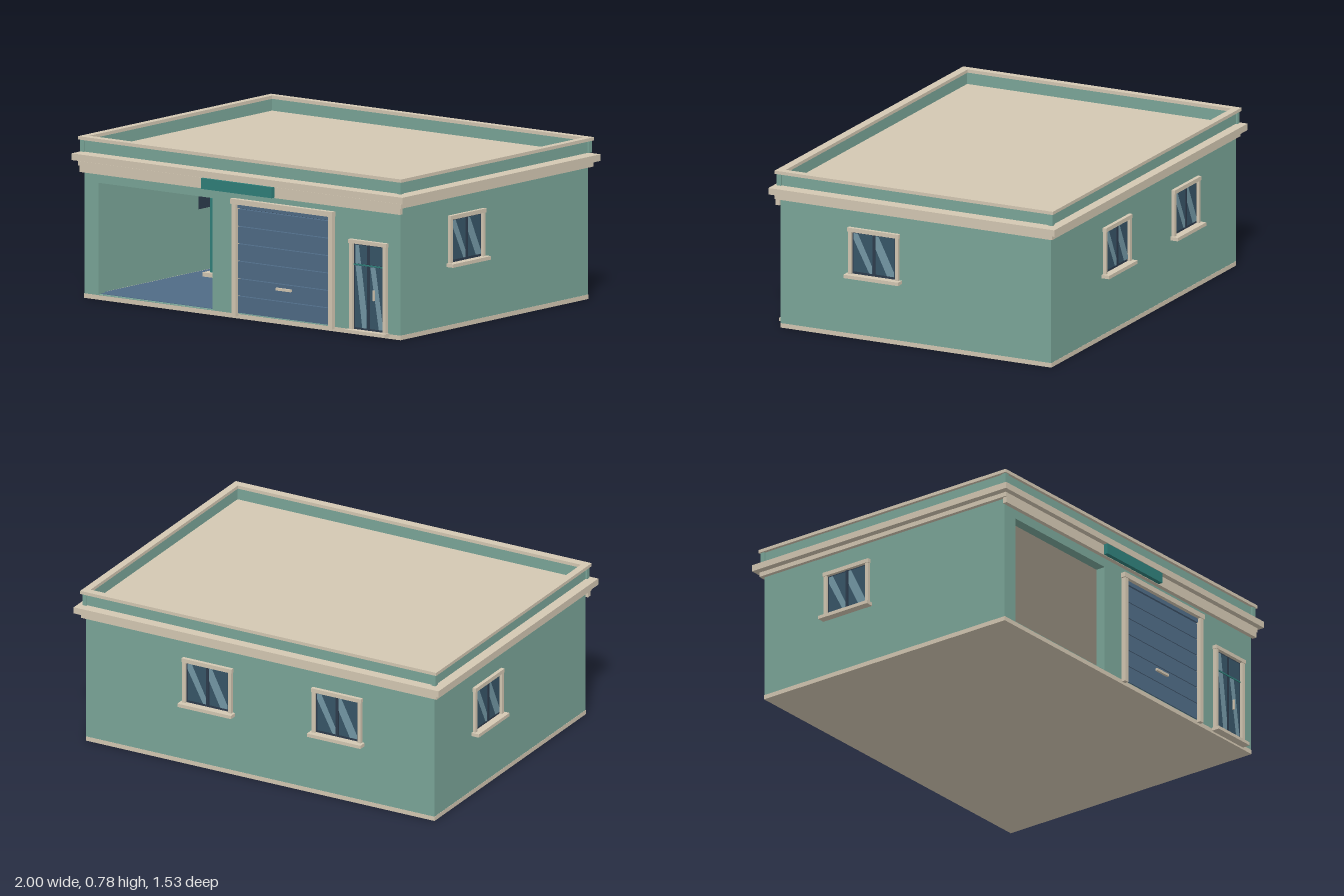
import * as THREE from 'three';

const mat = (color) => new THREE.MeshStandardMaterial({ color });
const GREEN = mat(0x7aa598), BEIGE = mat(0xd3c7b2), BLUE = mat(0x4f6b86), TEAL = mat(0x2f7f7a);
const DARK = mat(0x2d3c4d), GLASS = mat(0x375567), GLARE = mat(0x7397a5);

const X = 0.955, ZF = 0.72, ZB = -0.73, ZC = -0.005, T = 0.05; // wall faces and thickness

// Box given by its min / max on each axis
function box(parent, name, m, x0, x1, y0, y1, z0, z1) {
  const mesh = new THREE.Mesh(new THREE.BoxGeometry(x1 - x0, y1 - y0, z1 - z0), m);
  mesh.position.set((x0 + x1) / 2, (y0 + y1) / 2, (z0 + z1) / 2);
  mesh.name = name;
  parent.add(mesh);
  return mesh;
}

function group(parent, name) {
  const g = new THREE.Group();
  g.name = name;
  parent.add(g);
  return g;
}

// Flat outline from corner points (counter-clockwise)
function outline(pts) {
  return new THREE.Shape(pts.map(([x, y]) => new THREE.Vector2(x, y)));
}
const rect = (x0, x1, y0, y1) => outline([[x0, y0], [x1, y0], [x1, y1], [x0, y1]]);

// Wall with rectangular openings; outer face on local z = 0
function wall(parent, name, halfWidth, holes) {
  const shape = rect(-halfWidth, halfWidth, 0.02, 0.67);
  holes.forEach((h) => shape.holes.push(rect(...h)));
  const geo = new THREE.ExtrudeGeometry(shape, { depth: T, bevelEnabled: false });
  geo.translate(0, 0, -T);
  const mesh = new THREE.Mesh(geo, GREEN);
  mesh.name = name;
  parent.add(mesh);
}

// Rectangular ring around the building, made from an outer and an inner outline
function ring(parent, name, m, x, zb, zf, ix, izb, izf, y0, y1) {
  const shape = rect(-x, x, -zf, -zb);
  if (ix) shape.holes.push(rect(-ix, ix, -izf, -izb));
  const geo = new THREE.ExtrudeGeometry(shape, { depth: y1 - y0, bevelEnabled: false });
  geo.rotateX(-Math.PI / 2);
  const mesh = new THREE.Mesh(geo, m);
  mesh.position.y = y0;
  mesh.name = name;
  parent.add(mesh);
}

function glare(parent, pts, z) {
  const mesh = new THREE.Mesh(new THREE.ShapeGeometry(outline(pts)), GLARE);
  mesh.position.z = z;
  mesh.name = 'glassReflection';
  parent.add(mesh);
}

// Two-pane window around local x = cx on a wall facing local +z
function windowUnit(parent, cx) {
  const g = group(parent, 'window');
  g.position.x = cx;
  box(g, 'windowBacking', DARK, -0.13, 0.13, 0.32, 0.545, -T, 0.002);
  for (const s of [-1, 1]) {
    box(g, 'windowPane', GLASS, s * 0.059 - 0.05, s * 0.059 + 0.05, 0.335, 0.525, 0, 0.006);
    box(g, 'windowSideTrim', BEIGE, s * 0.126 - 0.009, s * 0.126 + 0.009, 0.32, 0.545, 0, 0.016);
  }
  box(g, 'windowMullion', DARK, -0.007, 0.007, 0.33, 0.53, 0, 0.01);
  box(g, 'windowTopTrim', BEIGE, -0.137, 0.137, 0.532, 0.552, 0, 0.019);
  box(g, 'windowSill', BEIGE, -0.147, 0.147, 0.305, 0.322, 0, 0.04);
  glare(g, [[-0.025, 0.335], [-0.009, 0.335], [-0.009, 0.37], [-0.085, 0.525], [-0.109, 0.525], [-0.109, 0.495]], 0.007);
  glare(g, [[0.07, 0.335], [0.109, 0.335], [0.109, 0.355], [0.025, 0.525], [0.009, 0.525], [0.009, 0.46]], 0.007);
}

function garageDoor(parent) {
  const g = group(parent, 'garageDoor');
  box(g, 'doorBacking', DARK, -0.025, 0.535, 0.02, 0.556, -0.04, -0.018);
  const rows = 6, h = 0.505 / rows;
  for (let i = 0; i < rows; i++) {
    box(g, 'doorPanel', BLUE, -0.024, 0.534, 0.028 + i * h, 0.024 + (i + 1) * h, -0.02, 0.002);
  }
  box(g, 'doorTopPanel', BLUE, -0.024, 0.534, 0.535, 0.556, -0.02, 0.006);
  box(g, 'doorHandle', BEIGE, 0.21, 0.3, 0.163, 0.175, 0, 0.014);
  for (const x of [-0.036, 0.546]) box(g, 'doorPost', BEIGE, x - 0.012, x + 0.012, 0.012, 0.56, -0.03, 0.022);
  box(g, 'doorLintel', BEIGE, -0.055, 0.562, 0.555, 0.58, -0.03, 0.026);
}

function entrance(parent) {
  const g = group(parent, 'entranceDoor');
  box(g, 'doorLeaf', DARK, 0.675, 0.865, 0.024, 0.445, -0.04, 0.004);
  for (const [x0, x1] of [[0.686, 0.757], [0.777, 0.854]]) {
    box(g, 'lowerGlass', GLASS, x0, x1, 0.036, 0.335, 0, 0.007);
    box(g, 'upperGlass', GLASS, x0, x1, 0.345, 0.435, 0, 0.007);
  }
  box(g, 'doorRail', TEAL, 0.68, 0.86, 0.337, 0.343, 0, 0.01);
  glare(g, [[0.73, 0.036], [0.757, 0.036], [0.757, 0.11], [0.725, 0.335], [0.69, 0.335]], 0.008);
  glare(g, [[0.83, 0.036], [0.854, 0.036], [0.854, 0.06], [0.81, 0.335], [0.779, 0.335]], 0.008);
  glare(g, [[0.69, 0.345], [0.723, 0.345], [0.71, 0.435], [0.688, 0.435]], 0.008);
  box(g, 'doorHandle', BEIGE, 0.8, 0.807, 0.175, 0.225, 0, 0.018);
  for (const x of [0.669, 0.871]) box(g, 'doorPost', BEIGE, x - 0.009, x + 0.009, 0.02, 0.45, -0.03, 0.02);
  box(g, 'doorLintel', BEIGE, 0.656, 0.884, 0.442, 0.46, -0.03, 0.023);
  box(g, 'doorStep', BEIGE, 0.65, 0.89, 0.01, 0.026, -0.03, 0.042);
}

export function createModel() {
  const model = new THREE.Group();
  model.name = 'garageBuilding';

  // Base slab and shop floor
  box(model, 'baseSlab', BEIGE, -X - 0.001, X + 0.001, 0, 0.022, ZB - 0.001, ZF + 0.001);
  box(model, 'shopFloor', BLUE, -0.885, 0.885, 0.02, 0.027, ZB + T + 0.01, ZF - 0.02);

  // Front wall with open bay, garage door and entrance
  const front = group(model, 'frontSide');
  front.position.z = ZF;
  wall(front, 'frontWall', X, [[-0.87, -0.18, 0.025, 0.565], [-0.025, 0.535, 0.025, 0.556], [0.675, 0.865, 0.025, 0.445]]);
  garageDoor(front);
  entrance(front);
  box(front, 'frieze', BEIGE, -0.968, 0.968, 0.61, 0.645, 0, 0.022);
  box(front, 'signBoard', TEAL, -0.215, 0.21, 0.612, 0.664, 0, 0.044);

  // Back and side walls with windows
  const hole = (c) => [c - 0.13, c + 0.13, 0.32, 0.545];
  const back = group(model, 'backSide');
  back.position.z = ZB;
  back.rotation.y = Math.PI;
  wall(back, 'backWall', X, [hole(-0.285), hole(0.425)]);
  [-0.285, 0.425].forEach((c) => windowUnit(back, c));
  for (const s of [-1, 1]) {
    const side = group(model, s > 0 ? 'leftSide' : 'rightSide');
    side.position.set(s * X, 0, ZC);
    side.rotation.y = s * Math.PI / 2;
    wall(side, 'sideWall', (ZF - ZB) / 2 - T, [hole(-0.222)]);
    // Wall ends are closed by the front and back walls
    windowUnit(side, -0.222);
  }

  // Roof slab and stepped cornice
  box(model, 'roofSlab', BEIGE, -0.95, 0.95, 0.655, 0.699, ZB + 0.005, ZF - 0.005);
  ring(model, 'lowerCornice', BEIGE, 0.975, -0.745, 0.742, 0.94, -0.715, 0.705, 0.64, 0.662);
  ring(model, 'upperCornice', BEIGE, 1, -0.77, 0.763, 0.94, -0.715, 0.705, 0.667, 0.699);
  ring(model, 'corniceCore', BEIGE, 0.965, -0.735, 0.73, 0.94, -0.715, 0.705, 0.66, 0.67);

  // Parapet with corner posts and cap
  ring(model, 'parapet', GREEN, 0.96, -0.735, 0.727, 0.945, -0.718, 0.705, 0.708, 0.768);
  for (const x of [-0.957, 0.957]) {
    for (const z of [-0.732, 0.724]) box(model, 'parapetPost', GREEN, x - 0.011, x + 0.011, 0.708, 0.768, z - 0.012, z + 0.012);
  }
  ring(model, 'parapetCap', BEIGE, 0.976, -0.75, 0.742, 0.94, -0.713, 0.7, 0.766, 0.782);

  // Vehicle lift posts in the open bay
  const lift = group(model, 'vehicleLift');
  for (const x of [-0.738, -0.308]) {
    box(lift, 'liftFoot', BEIGE, x - 0.043, x + 0.043, 0.026, 0.047, -0.06, 0.03);
    box(lift, 'liftPost', TEAL, x - 0.016, x + 0.016, 0.045, 0.405, -0.035, 0.005);
  }

  // Tool bench against the back wall
  const bench = group(model, 'toolBench');
  box(bench, 'benchCabinet', TEAL, -0.735, -0.315, 0.026, 0.242, -0.67, -0.52);
  box(bench, 'benchTop', BEIGE, -0.765, -0.282, 0.242, 0.257, -0.675, -0.5);
  for (const y of [0.083, 0.142, 0.2]) box(bench, 'drawerPull', BEIGE, -0.72, -0.33, y - 0.004, y + 0.004, -0.52, -0.512);

  return model;
}
